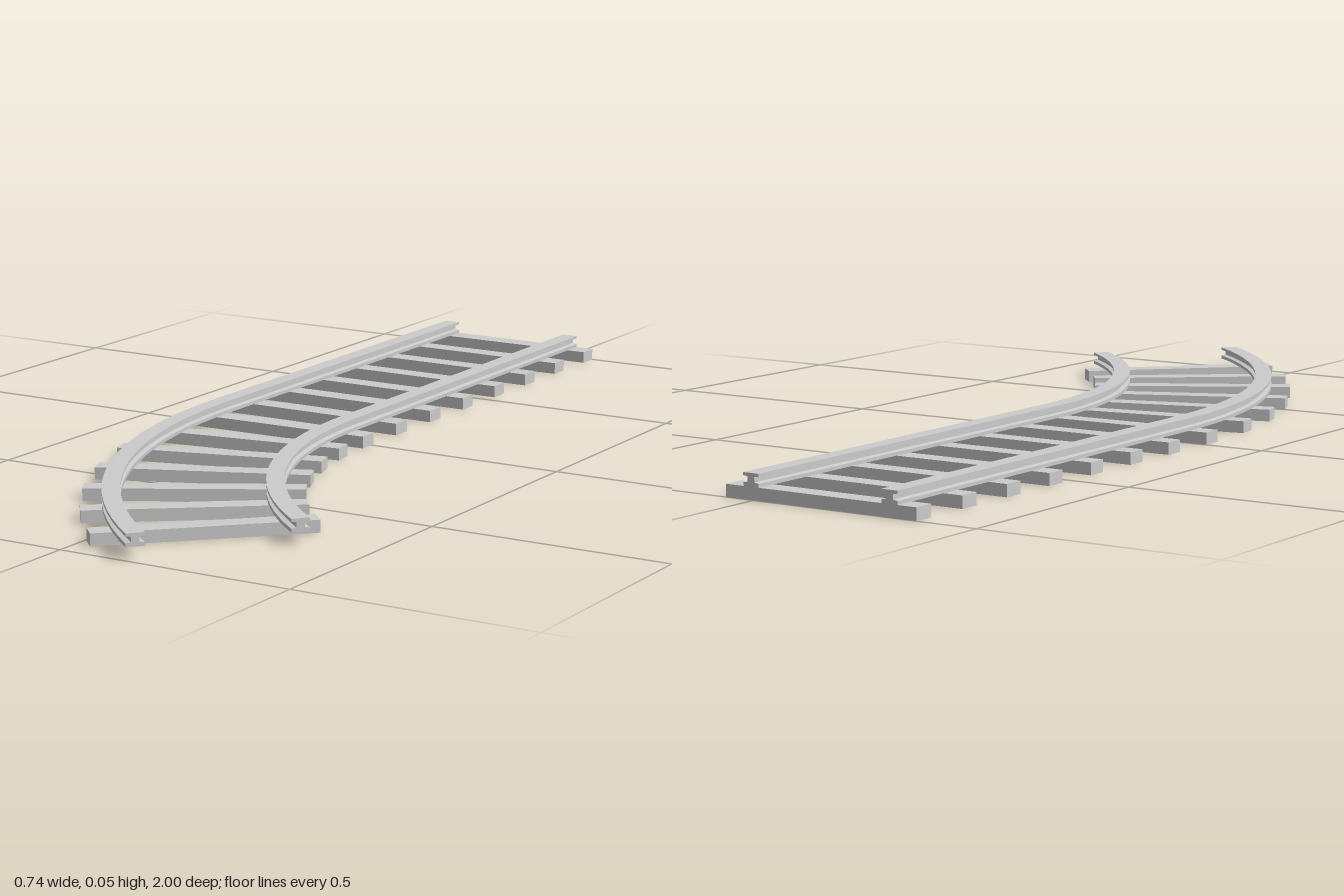
import * as THREE from 'three';

const X0 = -0.153;      // centre line of the straight track
const Z0 = -0.01;       // where the bend begins
const R = 1.131;        // radius of the bend
const BEND = 0.881;     // angle of the bend
const HALF_GAUGE = 0.158;

// Centre line: distance s past the start of the bend -> position and heading
function trackAt(s) {
  if (s <= 0) return { x: X0, z: Z0 + s, a: 0 };
  const a = s / R;
  return { x: X0 + R * (1 - Math.cos(a)), z: Z0 + R * Math.sin(a), a };
}

// I-shaped rail section, counter-clockwise (half widths mirrored)
const side = [[0.018, 0.025], [0.018, 0.032], [0.008, 0.034], [0.008, 0.044], [0.018, 0.0455], [0.018, 0.051]];
const section = [...side, ...side.map(([u, y]) => [-u, y]).reverse()];

// Sweeps the section along the track at a sideways offset
function railGeometry(offset) {
  const stations = [-1 - Z0];
  const steps = 20;
  for (let i = 0; i <= steps; i++) stations.push((R * BEND * i) / steps);
  const rings = stations.map((s) => {
    const { x, z, a } = trackAt(s);
    return section.map(([u, y]) => [x + (u + offset) * Math.cos(a), y, z - (u + offset) * Math.sin(a)]);
  });
  const pos = [];
  const tri = (...pts) => pts.forEach((p) => pos.push(...p));
  const n = section.length;
  for (let j = 0; j < rings.length - 1; j++) {
    for (let i = 0; i < n; i++) {
      const k = (i + 1) % n;
      tri(rings[j][i], rings[j][k], rings[j + 1][k]);
      tri(rings[j][i], rings[j + 1][k], rings[j + 1][i]);
    }
  }
  // End caps
  const outline = section.map(([u, y]) => new THREE.Vector2(u, y));
  const first = rings[0], last = rings[rings.length - 1];
  for (const [a, b, c] of THREE.ShapeUtils.triangulateShape(outline, [])) {
    tri(last[a], last[b], last[c]);
    tri(first[a], first[c], first[b]);
  }
  const geo = new THREE.BufferGeometry();
  geo.setAttribute('position', new THREE.Float32BufferAttribute(pos, 3));
  geo.computeVertexNormals();
  return geo;
}

export function createModel() {
  const track = new THREE.Group();
  track.name = 'curvedTrack';
  const material = new THREE.MeshStandardMaterial({ color: 0xcccccc, flatShading: true });

  // Rails
  for (const [name, offset] of [['leftRail', HALF_GAUGE], ['rightRail', -HALF_GAUGE]]) {
    const rail = new THREE.Mesh(railGeometry(offset), material);
    rail.name = name;
    track.add(rail);
  }

  // Sleepers, evenly spaced along the centre line and square to it
  const sleepers = new THREE.Group();
  sleepers.name = 'sleepers';
  const sleeperGeo = new THREE.BoxGeometry(0.435, 0.025, 0.044);
  for (let i = 0; i < 14; i++) {
    const { x, z, a } = trackAt(-0.978 - Z0 + i * 0.1423);
    const sleeper = new THREE.Mesh(sleeperGeo, material);
    sleeper.name = 'sleeper';
    sleeper.position.set(x, 0.0125, z);
    sleeper.rotation.y = a;
    sleepers.add(sleeper);
  }
  track.add(sleepers);
  return track;
}
